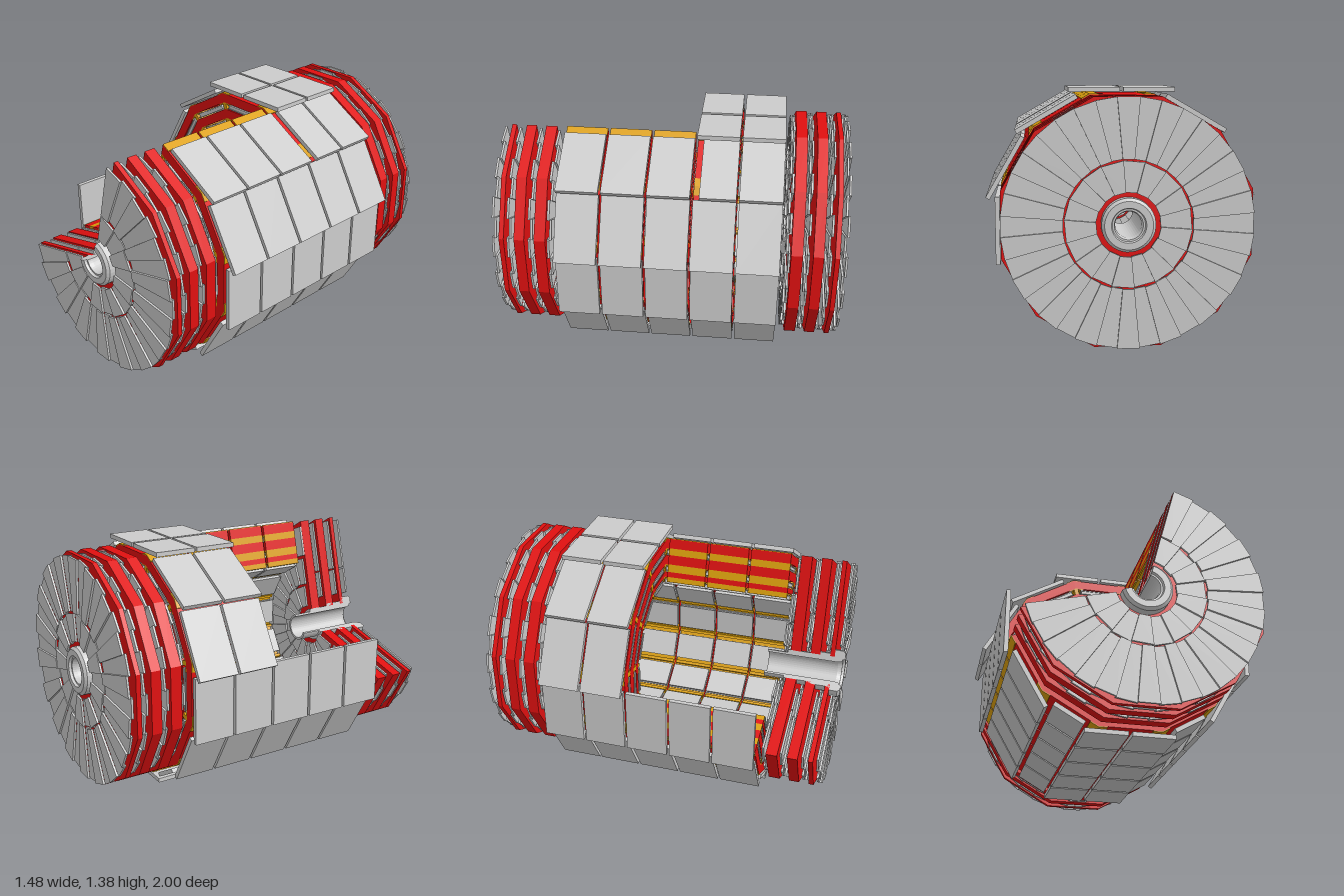
import * as THREE from 'three';
import { mergeGeometries } from 'three/addons/utils/BufferGeometryUtils.js';

const RAD = Math.PI / 180;
const T15 = Math.tan(15 * RAD);
const CUT_START = 195, CUT_SPAN = 240; // the cut-away parts keep 195 to 435 degrees

const material = (color) =>
  new THREE.MeshStandardMaterial({ color, flatShading: true, side: THREE.DoubleSide });
const grey = material(0xcccccc);
const red = material(0xe01010);
const yellow = material(0xdca00c);

// Prism from a radial/tangential outline, turned to an angle around the z axis
function prism(points, z0, z1, angle) {
  const shape = new THREE.Shape(points.map(([r, t]) => new THREE.Vector2(r, t)));
  const g = new THREE.ExtrudeGeometry(shape, { depth: z1 - z0, bevelEnabled: false });
  return g.translate(0, 0, z0).rotateZ(angle * RAD);
}

const slab = (r0, r1, t0, t1, z0, z1, angle) =>
  prism([[r0, t0], [r1, t0], [r1, t1], [r0, t1]], z0, z1, angle);

// Trapezoid that fills a sector of the given half angle
function wedge(r0, r1, half, z0, z1, angle) {
  const k = Math.tan(half * RAD);
  return prism([[r0, -r0 * k], [r1, -r1 * k], [r1, r1 * k], [r0, r0 * k]], z0, z1, angle);
}

function part(parent, name, geometries, mat) {
  const mesh = new THREE.Mesh(mergeGeometries(geometries), mat);
  mesh.name = name;
  parent.add(mesh);
}

// Outer plates: angle and extent measured downwards along the side
const SIDE_PLATES = [
  [60, -0.11, 0.27], [30, -0.1, 0.285], [0, -0.1, 0.275], [-30, -0.09, 0.265], [-60, -0.085, 0.105],
];

function outerPlates(z0, z1, full, notched) {
  const out = [];
  for (const [angle, t0, t1] of SIDE_PLATES) {
    const front = notched && angle === 60 ? z1 - 0.035 : z1;
    out.push(slab(0.665, 0.69, -t1, -t0, z0, front, angle));
    if (full || angle <= 0) out.push(slab(0.665, 0.69, t0, t1, z0, z1, 180 - angle));
  }
  for (const s of [-1, 1]) {
    out.push(slab(0.665, 0.69, s * 0.01, s * 0.25, z0, z1, 270));
    if (full) out.push(slab(0.665, 0.69, s * 0.01, s * 0.29, z0, z1, 90));
  }
  return out;
}

// One barrel wheel: three yoke layers with chambers between them
const YOKE = [[0.425, 0.455], [0.5, 0.555], [0.595, 0.65]];
const CHAMBERS = [[0.385, 0.415], [0.463, 0.492], [0.561, 0.588]];

function barrelWheel(index) {
  const wheel = new THREE.Group();
  wheel.name = 'barrelWheel';
  const zc = index * 0.25, z0 = zc - 0.1175, z1 = zc + 0.1175;
  const full = index < 0;
  const yoke = [], chambers = [], brackets = [];
  for (let i = 0; i < (full ? 12 : 8); i++) {
    const a = 210 + i * 30;
    for (const [r0, r1] of YOKE) yoke.push(wedge(r0, r1, 15, z0, z1, a));
    for (const [r0, r1] of CHAMBERS) {
      const w = r0 * T15 - 0.025;
      // chamber body with two raised skins
      chambers.push(slab(r0 + 0.004, r1 - 0.004, -w + 0.006, w - 0.006, z0 + 0.004, z1 - 0.004, a));
      chambers.push(slab(r0, r0 + 0.006, -w, w, z0, z1, a), slab(r1 - 0.006, r1, -w, w, z0, z1, a));
    }
    for (const s of [-1, 1]) {
      const strip = (r0, r1, width) => brackets.push(prism([
        [r0, s * (r0 * T15 - width)], [r1, s * (r1 * T15 - width)],
        [r1, s * r1 * T15], [r0, s * r0 * T15]], z0, z1, a));
      strip(0.65, 0.655, 0.05);
      for (const [r0] of YOKE) strip(r0 - 0.006, r0, 0.05);
      strip(0.455, 0.494, 0.014);
      strip(0.555, 0.589, 0.014);
      strip(0.395, 0.419, 0.01);
    }
  }
  part(wheel, 'yokeLayers', yoke, red);
  part(wheel, 'barrelChambers', chambers, grey);
  part(wheel, 'cornerBrackets', brackets, yellow);
  part(wheel, 'outerPlates', outerPlates(z0, z1, full, index === -1), grey);
  return wheel;
}

// Ring of overlapping chambers, staggered in depth
function chamberRing(r0, r1, step, z, start, span) {
  const out = [];
  for (let i = 0; i < span / step; i++) {
    const zz = z + (i % 2) * 0.014;
    out.push(wedge(r0, r1, step / 2 * 1.04, zz, zz + 0.012, start + (i + 0.5) * step));
  }
  return out;
}

function endcap(name, start, span) {
  const cap = new THREE.Group();
  cap.name = name;

  // Thick twelve-sided yoke discs
  const discs = [];
  for (const [z0, z1] of [[0.676, 0.74], [0.795, 0.853], [0.911, 0.938]])
    for (let i = 0; i < span / 30; i++) discs.push(wedge(0.095, 0.65, 15, z0, z1, start + 15 + i * 30));
  part(cap, 'endcapDiscs', discs, red);

  // Chamber stations between and outside the discs
  const rings = [];
  for (const z of [0.752, 0.872, 0.956]) {
    rings.push(...chamberRing(0.335, 0.65, 10, z, start, span));
    rings.push(...chamberRing(0.165, 0.325, 20, z, start, span));
  }
  rings.push(...chamberRing(0.45, 0.635, 10, 0.648, start, span));
  rings.push(...chamberRing(0.265, 0.43, 10, 0.634, start, span));
  rings.push(...chamberRing(0.12, 0.25, 20, 0.622, start, span));
  part(cap, 'endcapChambers', rings, grey);

  // Stepped hub around the bore, with flat caps where it is cut
  const profile = [
    [0.068, 0.54], [0.082, 0.54], [0.082, 0.66], [0.1, 0.66], [0.1, 0.8], [0.115, 0.8],
    [0.115, 0.93], [0.14, 0.93], [0.14, 0.985], [0.125, 1], [0.09, 1], [0.085, 0.985],
    [0.075, 0.985], [0.068, 0.96], [0.068, 0.54],
  ].map(([r, z]) => new THREE.Vector2(r, z));
  const hub = new THREE.LatheGeometry(profile, Math.round(span / 10), (start + 90) * RAD, span * RAD);
  const hubParts = [hub.rotateX(Math.PI / 2)];
  if (span < 360)
    for (const a of [start, start + span])
      hubParts.push(new THREE.ShapeGeometry(new THREE.Shape(profile.slice(0, -1)))
        .rotateX(Math.PI / 2).rotateZ(a * RAD));
  part(cap, 'hub', hubParts, grey);
  return cap;
}

export function createModel() {
  const model = new THREE.Group();
  model.name = 'layeredDetector';
  const body = new THREE.Group();
  body.name = 'body';
  body.position.y = 0.69;
  model.add(body);

  for (let i = -2; i <= 2; i++) body.add(barrelWheel(i));

  body.add(endcap('frontEndcap', CUT_START, CUT_SPAN));
  const rear = endcap('rearEndcap', CUT_START, 360);
  rear.rotation.y = Math.PI;
  body.add(rear);
  return model;
}
